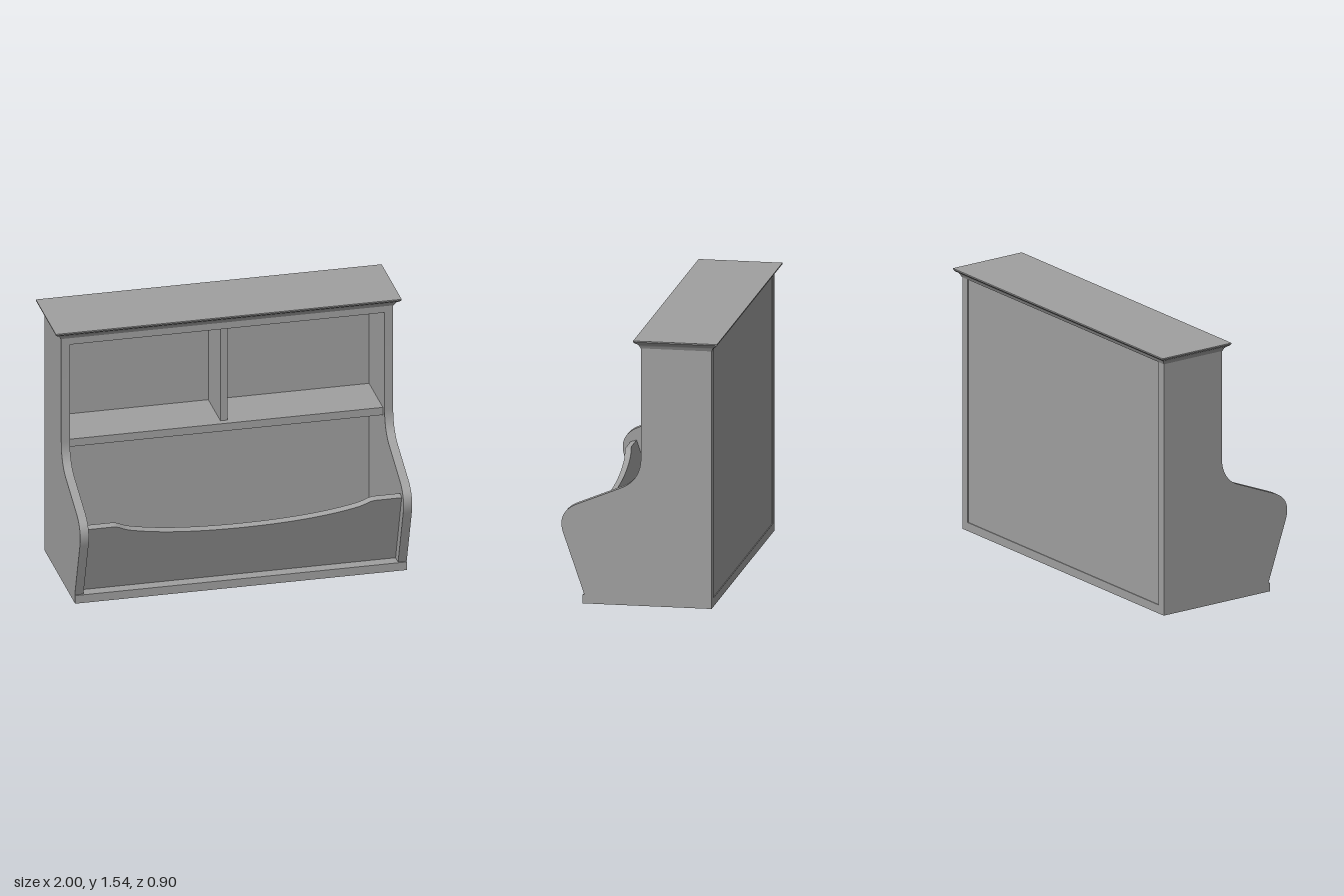
import * as THREE from 'three';
import { toCreasedNormals } from 'three/addons/utils/BufferGeometryUtils.js';

const paint = new THREE.MeshStandardMaterial({ color: 0xa0a0a0 });
paint.name = 'greyPaint';

function add(parent, name, geometry) {
  const mesh = new THREE.Mesh(geometry, paint);
  mesh.name = name;
  parent.add(mesh);
  return mesh;
}

// Box given by its limits on each axis
function board(parent, name, [x0, x1], [y0, y1], [z0, z1]) {
  const mesh = add(parent, name, new THREE.BoxGeometry(x1 - x0, y1 - y0, z1 - z0));
  mesh.position.set((x0 + x1) / 2, (y0 + y1) / 2, (z0 + z1) / 2);
  return mesh;
}

function extrude(shape, depth) {
  const geometry = new THREE.ExtrudeGeometry(shape, { depth, bevelEnabled: false, curveSegments: 16 });
  return toCreasedNormals(geometry, 0.5);
}

// Scrolled side outline, drawn as (z, y)
function sideShape() {
  const s = new THREE.Shape();
  s.moveTo(-0.41, 0.05);
  s.lineTo(0.318, 0.05);
  s.lineTo(0.44, 0.405);
  s.bezierCurveTo(0.468, 0.49, 0.43, 0.545, 0.36, 0.573);
  s.lineTo(0.1, 0.68);
  s.bezierCurveTo(0.035, 0.71, -0.005, 0.77, -0.005, 0.85);
  s.lineTo(-0.005, 1.495);
  s.lineTo(-0.41, 1.495);
  s.closePath();
  return s;
}

// Front panel with a dipped top edge
function panelShape() {
  const s = new THREE.Shape();
  s.moveTo(-0.91, 0);
  s.lineTo(0.91, 0);
  s.lineTo(0.91, 0.474);
  s.lineTo(0.76, 0.474);
  s.bezierCurveTo(0.725, 0.474, 0.705, 0.45, 0.66, 0.437);
  s.bezierCurveTo(0.48, 0.388, 0.25, 0.369, 0, 0.369);
  s.bezierCurveTo(-0.25, 0.369, -0.48, 0.388, -0.66, 0.437);
  s.bezierCurveTo(-0.705, 0.45, -0.725, 0.474, -0.76, 0.474);
  s.lineTo(-0.91, 0.474);
  s.closePath();
  return s;
}

// Crown moulding: rectangles that grow by an overhang at each height
function crownGeometry(halfX, halfZ, profile) {
  const corners = [[1, 1], [1, -1], [-1, -1], [-1, 1]];
  const rings = profile.map(([out, y]) =>
    corners.map(([sx, sz]) => [sx * (halfX + out), y, sz * (halfZ + out)]));
  const pos = [];
  const quad = (a, b, c, d) => pos.push(...a, ...b, ...c, ...a, ...c, ...d);
  for (let i = 0; i < rings.length - 1; i++) {
    for (let k = 0; k < 4; k++) {
      const n = (k + 1) % 4;
      quad(rings[i][k], rings[i][n], rings[i + 1][n], rings[i + 1][k]);
    }
  }
  const top = rings[rings.length - 1];
  quad(top[0], top[1], top[2], top[3]);
  const low = rings[0];
  quad(low[3], low[2], low[1], low[0]);
  const geometry = new THREE.BufferGeometry();
  geometry.setAttribute('position', new THREE.Float32BufferAttribute(pos, 3));
  return toCreasedNormals(geometry, 0.5);
}

export function createModel() {
  const model = new THREE.Group();
  model.name = 'shelfBin';

  // Carcass
  board(model, 'base', [-0.96, 0.96], [0, 0.05], [-0.41, 0.328]);
  board(model, 'backPanel', [-0.91, 0.91], [0.05, 1.495], [-0.405, -0.375]);
  board(model, 'topBoard', [-0.91, 0.91], [1.447, 1.495], [-0.375, -0.012]);

  for (const [name, x] of [['leftSide', 0.96], ['rightSide', -0.91]]) {
    const side = add(model, name, extrude(sideShape(), 0.05));
    side.rotation.y = -Math.PI / 2;
    side.position.x = x;
  }

  // Shelf and its divider
  board(model, 'shelf', [-0.91, 0.91], [0.798, 0.845], [-0.375, -0.045]);
  board(model, 'divider', [-0.02, 0.02], [0.845, 1.447], [-0.375, -0.085]);

  // Front panel leaning outwards
  const panel = add(model, 'frontPanel', extrude(panelShape(), 0.037));
  panel.rotation.x = Math.atan(0.333);
  panel.position.set(0, 0.05, 0.22);

  // Crown
  const crown = add(model, 'crown', crownGeometry(0.96, 0.2, [
    [0.003, 1.49], [0.008, 1.499], [0.011, 1.507], [0.017, 1.514],
    [0.026, 1.52], [0.03, 1.522], [0.037, 1.53], [0.04, 1.533], [0.04, 1.54],
  ]));
  crown.position.z = -0.208;

  return model;
}
